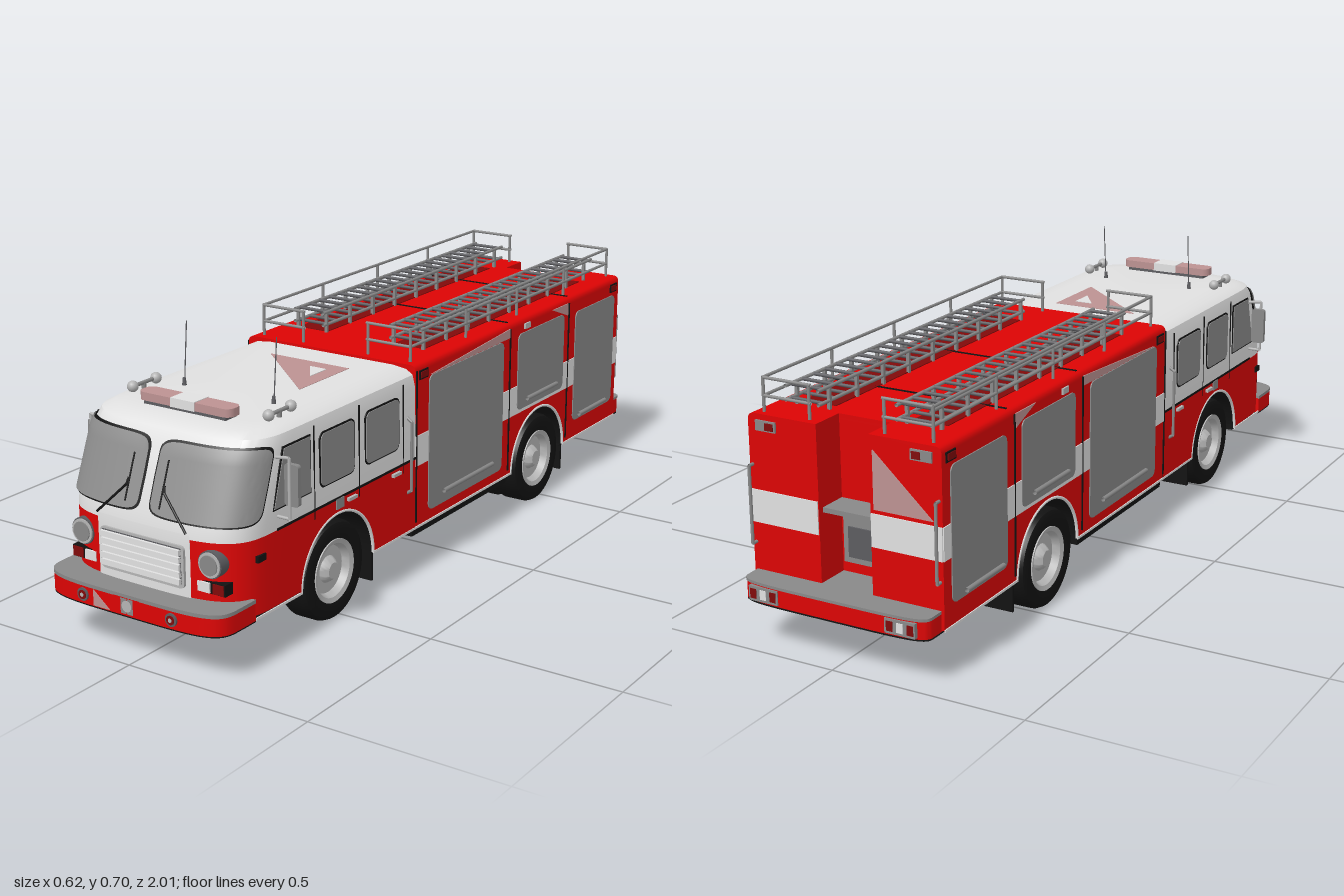
import * as THREE from 'three';
import { toCreasedNormals } from 'three/addons/utils/BufferGeometryUtils.js';

const material = (name, color) => {
  const m = new THREE.MeshStandardMaterial({ color, side: THREE.DoubleSide });
  m.name = name;
  return m;
};
const red = material('red paint', 0xdc0404), white = material('white paint', 0xe0e0e0);
const grey = material('grey metal', 0x888888), chrome = material('light metal', 0xb4b4b4);
const black = material('black', 0x121212), dark = material('dark metal', 0x5c5c60);
const glass = material('grey glass', 0x8c8c8c), pink = material('pale red', 0xbc9292);
const lamp = material('dark red lens', 0x800a0a);

// Cab heights: y, half width, front z
const LEVELS = [[0.13, 0.259, 0.935], [0.313, 0.259, 0.935], [0.35, 0.259, 0.93], [0.5, 0.256, 0.872],
  [0.53, 0.249, 0.85], [0.542, 0.23, 0.82], [0.547, 0.19, 0.78]];
const DEPTH = 0.16, POWER = 3.5;

function section(y) {
  const i = Math.max(1, LEVELS.findIndex((l) => l[0] >= y));
  const a = LEVELS[i - 1], b = LEVELS[i], t = (y - a[0]) / (b[0] - a[0]);
  return [a[1] + (b[1] - a[1]) * t, a[2] + (b[2] - a[2]) * t];
}
// Point of the rounded front outline, t from -1 to 1
function nosePoint(t, w, zf, d = DEPTH, power = POWER) {
  const a = Math.pow(Math.abs(t), 1.5) * Math.PI / 2;
  return [Math.sign(t) * w * Math.pow(Math.sin(a), 2 / power),
    zf - d + d * Math.pow(Math.max(0, Math.cos(a)), 2 / power)];
}
function frontZ(x, y) {
  const [w, zf] = section(y);
  return zf - DEPTH + DEPTH * Math.pow(1 - Math.pow(Math.abs(x) / w, POWER), 1 / POWER);
}
function gridGeometry(pos, idx) {
  const g = new THREE.BufferGeometry();
  g.setAttribute('position', new THREE.Float32BufferAttribute(pos, 3));
  g.setIndex(idx);
  return toCreasedNormals(g, 0.6);
}
// Stack of round-fronted outlines closed at the top
function loft(levels, zr, d, power) {
  const pos = [], idx = [], N = 48, R = N + 3;
  for (const [y, w, zf] of levels) {
    pos.push(-w, y, zr);
    for (let i = 0; i <= N; i++) {
      const [x, z] = nosePoint(-1 + 2 * i / N, w, zf, d, power);
      pos.push(x, y, z);
    }
    pos.push(w, y, zr);
  }
  for (let k = 0; k < levels.length - 1; k++) for (let j = 0; j < R; j++) {
    const a = k * R + j, b = k * R + (j + 1) % R;
    idx.push(a, b, b + R, a, b + R, a + R);
  }
  const top = (levels.length - 1) * R, c = levels.length * R;
  pos.push(0, levels.at(-1)[0], (zr + levels.at(-1)[2]) / 2);
  for (let j = 0; j < R; j++) idx.push(c, top + j, top + (j + 1) % R);
  return gridGeometry(pos, idx);
}
// Thin panel with rounded corners that follows the cab front
function nosePatch(t0, t1, y0, y1, off, n) {
  const pos = [], idx = [], U = 32, V = 10;
  for (let i = 0; i <= U; i++) for (let j = 0; j <= V; j++) {
    const u = Math.sin((i / U - 0.5) * Math.PI);
    const h = Math.pow(Math.max(0, 1 - Math.pow(Math.abs(u), n)), 1 / n);
    const y = (y0 + y1) / 2 + (y1 - y0) / 2 * (2 * j / V - 1) * h;
    const [w, zf] = section(y);
    const [x, z] = nosePoint((t0 + t1) / 2 + (t1 - t0) / 2 * u, w + off, zf + off);
    pos.push(x, y, z);
    if (i < U && j < V) {
      const a = i * (V + 1) + j, b = a + V + 1;
      idx.push(a, b, b + 1, a, b + 1, a + 1);
    }
  }
  return gridGeometry(pos, idx);
}
const polygon = (pts) => new THREE.Shape(pts.map((p) => new THREE.Vector2(...p)));
const strip = (a, b, c, d) => polygon([[a, c], [b, c], [b, d], [a, d]]);
function roundRect(x0, x1, y0, y1, r) {
  const s = new THREE.Shape();
  s.absarc(x1 - r, y1 - r, r, 0, Math.PI / 2);
  s.absarc(x0 + r, y1 - r, r, Math.PI / 2, Math.PI);
  s.absarc(x0 + r, y0 + r, r, Math.PI, Math.PI * 1.5);
  s.absarc(x1 - r, y0 + r, r, Math.PI * 1.5, Math.PI * 2);
  return s;
}
const extrude = (shape, depth) => new THREE.ExtrudeGeometry(shape, { depth, bevelEnabled: false, curveSegments: 24 });
// Side outline with a wheel arch, extruded across the truck
function archedBody(z0, z1, y0, y1, wheelZ, w) {
  const s = new THREE.Shape();
  s.moveTo(z0, y0);
  s.lineTo(wheelZ - 0.15, y0);
  s.absarc(wheelZ, y0, 0.15, Math.PI, 0, true);
  s.lineTo(z1, y0); s.lineTo(z1, y1); s.lineTo(z0, y1);
  return extrude(s, 2 * w).rotateY(-Math.PI / 2).translate(w, 0, 0);
}
// Cross-section with rounded top corners, extruded along z
function bodySection(x0, x1, r0, r1, z0, z1) {
  const s = new THREE.Shape(), y0 = 0.29, y1 = 0.554;
  s.moveTo(x0, y0); s.lineTo(x1, y0);
  s.lineTo(x1, y1 - r1); s.quadraticCurveTo(x1, y1, x1 - r1, y1);
  s.lineTo(x0 + r0, y1); s.quadraticCurveTo(x0, y1, x0, y1 - r0);
  return extrude(s, z1 - z0).translate(0, 0, z0);
}

export function createModel() {
  const root = new THREE.Group();
  const add = (name, geo, mat) => {
    const m = new THREE.Mesh(geo, mat);
    m.name = name;
    root.add(m);
    return m;
  };
  const box = (name, mat, x0, x1, y0, y1, z0, z1) => add(name, new THREE.BoxGeometry(x1 - x0, y1 - y0, z1 - z0)
    .translate((x0 + x1) / 2, (y0 + y1) / 2, (z0 + z1) / 2), mat);
  const boxes = (name, mat, x0, x1, ...r) => { box(name, mat, x0, x1, ...r); box(name, mat, -x1, -x0, ...r); };
  const plates = (name, mat, shape, x, t = 0.003) => [x + t, -x].forEach((e) =>
    add(name, extrude(shape, t).rotateY(-Math.PI / 2).translate(e, 0, 0), mat));
  const rod = (name, mat, r, pts) => pts.slice(1).forEach((p, i) => add(name, new THREE.TubeGeometry(
    new THREE.LineCurve3(new THREE.Vector3(...pts[i]), new THREE.Vector3(...p)), 1, r, 8), mat));
  const disc = (name, mat, r, x, y, z, d) => add(name, new THREE.CylinderGeometry(r, r, d, 24).rotateX(Math.PI / 2).translate(x, y, z), mat);
  const roofPanel = (name, mat, pts, y) => add(name, extrude(polygon(pts), 0.002).rotateX(-Math.PI / 2).translate(0, y, 0), mat);

  // Cab
  add('cabUpper', loft(LEVELS.slice(1), 0.19), white);
  add('cabNose', loft(LEVELS.slice(0, 2), 0.68), red);
  add('cabLower', archedBody(0.19, 0.69, 0.125, 0.313, 0.53, 0.259), [red, black]);
  add('noseFloor', loft([[0.118, 0.25, 0.93], [0.1205, 0.25, 0.93]], 0.68), black);
  add('noseApron', nosePatch(-0.345, 0.345, 0.17, 0.325, 0.003, 30), white);
  for (const [a, b] of [[0.02, 0.925], [-0.925, -0.02]]) {
    add('windscreenSeal', nosePatch(a, b, 0.347, 0.516, 0.003, 9), black);
    add('windscreen', nosePatch(a + 0.01, b - 0.01, 0.352, 0.512, 0.006, 9), glass);
  }
  plates('beltTrim', black, strip(0.19, 0.775, 0.311, 0.317), 0.2575);
  const quarter = (e) => polygon([[0.785 + e, 0.365 - e], [0.745 + e, 0.5 + e], [0.645 - e, 0.5 + e], [0.645 - e, 0.365 - e]]);
  plates('quarterWindowSeal', black, quarter(0.004), 0.2565);
  plates('quarterWindow', glass, quarter(0), 0.2585);
  for (const [a, b] of [[0.465, 0.602], [0.27, 0.413]]) {
    plates('doorWindowSeal', black, roundRect(a - 0.004, b + 0.004, 0.359, 0.496, 0.018), 0.2565);
    plates('doorWindow', glass, roundRect(a, b, 0.363, 0.492, 0.016), 0.2585);
    boxes('doorHandle', chrome, 0.259, 0.267, 0.295, 0.303, a - 0.005, a + 0.03);
  }
  boxes('sideBadge', grey, 0.258, 0.262, 0.287, 0.313, 0.51, 0.54);
  for (const z of [0.625, 0.44, 0.245]) plates('doorSeam', black, strip(z, z + 0.003, 0.29, 0.52), 0.2563);
  // Roof panel marking, light bar, lamps and aerials
  roofPanel('roofTriangle', pink, [[-0.12, -0.28], [0.12, -0.49], [0.12, -0.28]], 0.546);
  roofPanel('roofTriangleInset', white, [[0.03, -0.32], [0.08, -0.39], [0.08, -0.32]], 0.5475);
  box('lightBarBase', dark, -0.12, 0.12, 0.545, 0.558, 0.735, 0.775);
  add('lightBar', extrude(roundRect(-0.135, 0.135, -0.78, -0.73, 0.02), 0.02).rotateX(-Math.PI / 2).translate(0, 0.556, 0), pink);
  box('lightBarCentre', white, -0.035, 0.035, 0.555, 0.5775, 0.728, 0.782);
  for (const s of [-1, 1]) {
    for (const z of [0.72, 0.635]) add('roofLamp', new THREE.SphereGeometry(0.014, 16, 10).translate(s * 0.2, 0.56, z), chrome);
    rod('roofLampBar', grey, 0.005, [[s * 0.2, 0.56, 0.635], [s * 0.2, 0.56, 0.72]]);
    rod('roofLampPost', grey, 0.006, [[s * 0.2, 0.53, 0.68], [s * 0.2, 0.56, 0.68]]);
    rod('aerial', dark, 0.0014, [[s * 0.133, 0.54, 0.61], [s * 0.133, 0.703, 0.595]]);
    add('aerialFoot', new THREE.CylinderGeometry(0.004, 0.006, 0.02, 10).translate(s * 0.133, 0.555, 0.61), dark);
    // Wipers, mirrors and grab rails
    const onGlass = (x, y) => [s * x, y, frontZ(x, y) + 0.012];
    rod('wiperArm', black, 0.003, [onGlass(0.13, 0.33), onGlass(0.055, 0.405), onGlass(0.052, 0.42)]);
    rod('wiperBlade', black, 0.002, [onGlass(0.05, 0.37), onGlass(0.05, 0.475)]);
    rod('mirrorArm', chrome, 0.004, [[s * 0.25, 0.485, 0.77], [s * 0.292, 0.49, 0.77], [s * 0.292, 0.345, 0.77], [s * 0.25, 0.345, 0.77]]);
    add('mirror', extrude(roundRect(-0.019, 0.019, -0.05, 0.05, 0.008), 0.012).translate(s * 0.291, 0.422, 0.75), grey);
    rod('cabGrabRail', grey, 0.004, [[s * 0.255, 0.23, 0.225], [s * 0.27, 0.24, 0.225], [s * 0.27, 0.42, 0.225], [s * 0.255, 0.43, 0.225]]);
    rod('rearGrabRail', grey, 0.004, [[s * 0.25, 0.24, -0.925], [s * 0.25, 0.24, -0.945], [s * 0.25, 0.43, -0.945], [s * 0.25, 0.43, -0.925]]);
    // Headlights and bumper lamps
    disc('headlightRing', dark, 0.033, s * 0.187, 0.265, 0.912, 0.036);
    disc('headlightRim', chrome, 0.03, s * 0.187, 0.265, 0.915, 0.036);
    disc('headlight', grey, 0.024, s * 0.187, 0.265, 0.918, 0.036);
    disc('bumperLampRing', dark, 0.016, s * 0.13, 0.145, 0.99, 0.026);
    disc('bumperLamp', lamp, 0.011, s * 0.13, 0.145, 0.992, 0.026);
    disc('bumperLampBulb', chrome, 0.005, s * 0.13, 0.145, 0.993, 0.026);
  }
  boxes('signalFrame', black, 0.147, 0.225, 0.194, 0.222, 0.89, 0.925);
  boxes('signalLamp', lamp, 0.192, 0.222, 0.196, 0.22, 0.89, 0.928);
  boxes('runningLamp', white, 0.15, 0.184, 0.196, 0.22, 0.89, 0.93);
  boxes('sideMarker', black, 0.24, 0.262, 0.258, 0.274, 0.82, 0.85);
  // Grille
  add('grilleSurround', extrude(roundRect(-0.122, 0.122, 0.195, 0.298, 0.012), 0.012).translate(0, 0, 0.93), chrome);
  box('grilleCavity', dark, -0.115, 0.115, 0.205, 0.292, 0.93, 0.944);
  for (let i = 0; i < 5; i++) box('grilleBar', white, -0.115, 0.115, 0.206 + i * 0.0175, 0.22 + i * 0.0175, 0.93, 0.951);

  // Bumper and rear step
  add('bumper', loft([[0.122, 0.259, 1], [0.166, 0.259, 1]], 0.86, 0.1, 4.5), red);
  add('bumperTop', loft([[0.165, 0.26, 1], [0.174, 0.26, 1]], 0.86, 0.1, 4.5), grey);
  add('bumperFloor', loft([[0.119, 0.259, 1], [0.1215, 0.259, 1]], 0.86, 0.1, 4.5), black);
  box('bumperCentre', grey, -0.018, 0.018, 0.126, 0.164, 0.98, 1);
  disc('bumperCentreLamp', chrome, 0.014, 0, 0.145, 0.9985, 0.005);
  add('bumperTriangle', extrude(polygon([[-0.098, 0.164], [-0.098, 0.125], [-0.05, 0.125]]), 0.004).translate(0, 0, 0.998), pink);
  add('rearStep', loft([[0.122, 0.25, 0.998], [0.166, 0.25, 0.998]], 0.9, 0.05, 5), red).rotation.y = Math.PI;
  add('rearStepTop', loft([[0.165, 0.251, 1], [0.172, 0.251, 1]], 0.9, 0.05, 5), grey).rotation.y = Math.PI;
  add('rearStepFloor', loft([[0.118, 0.25, 0.998], [0.1205, 0.25, 0.998]], 0.6, 0.05, 5), black).rotation.y = Math.PI;
  boxes('tailLampPlate', grey, 0.145, 0.225, 0.126, 0.162, -1, -0.98);
  for (const x of [0.15, 0.177, 0.204]) boxes('tailLamp', x === 0.177 ? white : lamp, x, x + 0.017, 0.132, 0.156, -1.001, -0.99);

  // Rear body with the open back bay
  add('bodyLower', archedBody(-0.84, 0.19, 0.125, 0.3, -0.455, 0.258), [red, black]);
  add('bodyUpper', bodySection(-0.258, 0.258, 0.018, 0.018, -0.84, 0.19), red);
  add('tailLeft', bodySection(0.07, 0.258, 0, 0.018, -0.93, -0.84), red);
  add('tailRight', bodySection(-0.258, -0.07, 0.018, 0, -0.93, -0.84), red);
  boxes('tailLower', red, 0.07, 0.258, 0.125, 0.3, -0.93, -0.84);
  box('bayBack', red, -0.07, 0.07, 0.125, 0.3, -0.843, -0.838);
  box('bayFloor', grey, -0.07, 0.07, 0.13, 0.172, -0.94, -0.842);
  box('bayPanel', grey, -0.06, 0.06, 0.2, 0.34, -0.852, -0.842);
  box('bayDoor', dark, -0.045, 0.045, 0.215, 0.29, -0.856, -0.85);
  box('bayShelf', grey, -0.07, 0.07, 0.34, 0.352, -0.915, -0.84);
  boxes('rearStripe', white, 0.072, 0.258, 0.29, 0.37, -0.933, -0.929);
  boxes('rearLampPlate', grey, 0.18, 0.235, 0.515, 0.54, -0.935, -0.929);
  boxes('rearLamp', lamp, 0.185, 0.207, 0.519, 0.536, -0.938, -0.93);
  add('rearTriangle', extrude(polygon([[-0.08, 0.52], [-0.08, 0.38], [-0.235, 0.38]]), 0.003).translate(0, 0, -0.933), pink);
  plates('sideStripe', white, strip(-0.93, 0.19, 0.29, 0.37), 0.2575);
  for (const [a, b] of [[-0.305, 0.38], [0.68, 0.86], [-0.93, -0.605]]) plates('lowerTrim', white, strip(a, b, 0.122, 0.128), 0.2575);
  for (const z of [0.185, -0.285, -0.62]) plates('panelSeam', black, strip(z, z + 0.004, 0.14, 0.54), 0.2585);
  // Lockers: z range, y range, handle z range and height
  for (const [a, b, c, d, h0, h1, hy] of [[-0.245, 0.13, 0.155, 0.515, -0.185, 0.065, 0.19],
    [-0.587, -0.325, 0.3, 0.515, -0.54, -0.37, 0.325], [-0.9, -0.657, 0.18, 0.505, -0.85, -0.685, 0.195]]) {
    plates('lockerShutter', grey, roundRect(a, b, c, d, 0.018), 0.2595);
    for (const s of [-1, 1]) rod('lockerHandle', grey, 0.006, [[s * 0.268, hy, h0], [s * 0.268, hy, h1]]);
  }
  plates('sideWedge', pink, polygon([[0.12, 0.516], [-0.28, 0.516], [-0.28, 0.541]]), 0.2575);
  plates('sideWedgeSmall', pink, polygon([[-0.52, 0.54], [-0.612, 0.54], [-0.612, 0.505]]), 0.2575);
  boxes('lockerLamp', chrome, 0.25, 0.263, 0.523, 0.538, -0.39, -0.36);
  for (const z of [0.14, -0.91]) {
    boxes('cornerLampFrame', black, 0.25, 0.261, 0.514, 0.538, z - 0.005, z + 0.035);
    boxes('cornerLamp', lamp, 0.25, 0.263, 0.518, 0.534, z, z + 0.03);
  }
  for (const z of [-0.63, -0.29]) box('roofSeam', black, -0.245, 0.245, 0.553, 0.556, z - 0.003, z + 0.003);

  // Roof ladders and railings
  boxes('ladderBed', lamp, 0.105, 0.195, 0.551, 0.556, -0.8, 0.05);
  for (const s of [-1, 1]) {
    for (const x of [0.105, 0.195]) {
      for (const y of [0.575, 0.608]) rod('ladderRail', grey, 0.0045, [[s * x, y, 0.07], [s * x, y, -0.87]]);
      for (let i = 0; i < 9; i++) box('ladderStrut', grey, s * x - 0.004, s * x + 0.004, 0.552, 0.608, 0.05 - i * 0.11, 0.058 - i * 0.11);
    }
    for (let i = 0; i < 21; i++) for (const y of [0.575, 0.608])
      rod('ladderRung', dark, 0.0045, [[s * 0.105, y, 0.05 - i * 0.045], [s * 0.195, y, 0.05 - i * 0.045]]);
    for (const y of [0.592, 0.635]) rod('roofRail', grey, 0.004, [[s * 0.095, y, 0.165], [s * 0.226, y, 0.165], [s * 0.226, y, -0.91], [s * 0.095, y, -0.91]]);
    for (const z of [0.165, -0.104, -0.373, -0.642, -0.91]) rod('railPost', grey, 0.004, [[s * 0.226, 0.55, z], [s * 0.226, 0.637, z]]);
    for (const z of [0.165, -0.91]) rod('railEndPost', grey, 0.004, [[s * 0.1, 0.55, z], [s * 0.1, 0.637, z]]);
  }

  // Underside
  box('chassis', black, -0.09, 0.09, 0.1, 0.135, -0.6, 0.65);
  box('gearbox', black, -0.16, 0.16, 0.07, 0.135, 0.32, 0.5);
  box('gearboxTail', black, -0.16, 0.16, 0.085, 0.135, 0.2, 0.32);
  box('bodyFloor', black, -0.25, 0.25, 0.1, 0.126, -0.29, 0.19);
  for (const z of [0.372, -0.612]) boxes('mudFlap', black, 0.165, 0.25, 0.045, 0.125, z - 0.004, z + 0.004);

  // Wheels, with a dark well closing each arch inside
  const tyreProfile = [[0.078, -0.036], [0.108, -0.042], [0.12, -0.037], [0.125, -0.026], [0.125, 0.026], [0.12, 0.037], [0.108, 0.042], [0.078, 0.036]];
  const hubProfile = [[0, 0.036], [0.02, 0.036], [0.028, 0.028], [0.034, 0.018], [0.06, 0.018], [0.068, 0.036], [0.08, 0.04], [0.08, 0]];
  const turned = (pts, s) => toCreasedNormals(new THREE.LatheGeometry(pts.map((p) => new THREE.Vector2(...p)), 40), 0.6).rotateZ(-s * Math.PI / 2);
  for (const [z, wheels, half] of [[0.53, [0.208], 0.16], [-0.455, [0.218, 0.13], 0.08]]) {
    const well = new THREE.Shape().absarc(0, 0, 0.15, 0, Math.PI);
    add('wheelWell', extrude(well, 2 * half).rotateY(-Math.PI / 2).translate(half, 0.125, z), black);
    for (const s of [-1, 1]) {
      for (const x of wheels) {
        add('tyre', turned(tyreProfile, s).translate(s * x, 0.125, z), black);
        add('hubBack', turned([[0.079, 0], [0.079, -0.03], [0, -0.03]], s).translate(s * x, 0.125, z), black);
      }
      add('hub', turned(hubProfile, s).translate(s * wheels[0], 0.125, z), chrome);
      add('archTrim', new THREE.TorusGeometry(0.151, 0.004, 8, 32, Math.PI).rotateY(Math.PI / 2).translate(s * 0.257, 0.125, z), white);
    }
    rod('axle', black, 0.02, [[-0.2, 0.125, z], [0.2, 0.125, z]]);
  }
  return root;
}
